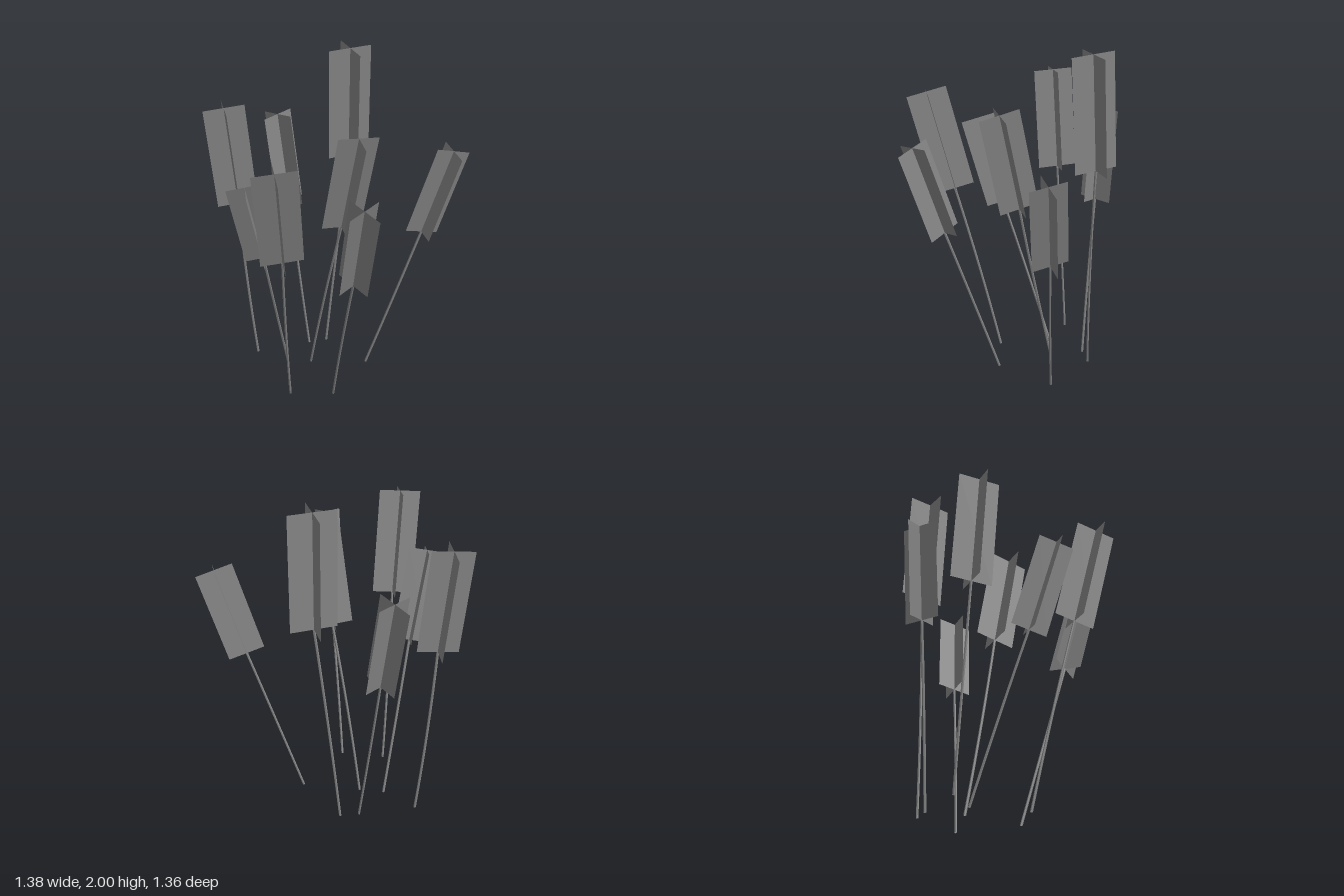
import * as THREE from 'three';

// Each reed: stem foot [x, z], stem bend [x, z], head bottom and top [x, y, z],
// direction of one head blade seen from above [x, z], head width
const REEDS = [
  { foot: [-0.386, -0.49], bend: [-0.44, -0.485], low: [-0.47, 1.115, -0.46], high: [-0.522, 1.72, -0.449], dir: [30, 7], width: 0.232 },
  { foot: [-0.05, -0.43], bend: [-0.088, -0.475], low: [-0.114, 1.015, -0.526], high: [-0.149, 1.565, -0.583], dir: [53, -21], width: 0.212 },
  { foot: [0.06, -0.405], bend: [0.115, -0.362], low: [0.191, 1.335, -0.34], high: [0.183, 1.993, -0.307], dir: [68, 3], width: 0.255 },
  { foot: [-0.257, -0.308], bend: [-0.365, -0.205], low: [-0.474, 0.945, -0.088], high: [-0.6, 1.462, 0.016], dir: [45, 17], width: 0.203 },
  { foot: [-0.127, -0.242], bend: [-0.098, -0.11], low: [-0.039, 1.085, 0.017], high: [-0.003, 1.672, 0.153], dir: [62.5, 8], width: 0.232 },
  { foot: [0.18, -0.082], bend: [0.315, 0.005], low: [0.452, 0.96, 0.079], high: [0.586, 1.482, 0.167], dir: [-6, 54], width: 0.209 },
  { foot: [-0.373, -0.012], bend: [-0.435, 0.09], low: [-0.491, 1.085, 0.222], high: [-0.568, 1.678, 0.349], dir: [60, 17], width: 0.234 },
  { foot: [-0.143, 0.107], bend: [-0.166, 0.26], low: [-0.175, 0.965, 0.422], high: [-0.197, 1.495, 0.582], dir: [53, -18], width: 0.209 },
];

const STEM_RADIUS = 0.0075;

const darkGrey = new THREE.MeshStandardMaterial({ color: 0x848484, flatShading: true, side: THREE.DoubleSide });

function createStem({ foot, bend, low }) {
  const path = new THREE.QuadraticBezierCurve3(
    new THREE.Vector3(foot[0], 0, foot[1]),
    new THREE.Vector3(bend[0], low[1] / 2, bend[1]),
    new THREE.Vector3(...low)
  );
  const stem = new THREE.Mesh(new THREE.TubeGeometry(path, 8, STEM_RADIUS, 6), darkGrey);
  stem.name = 'stem';
  return stem;
}

// Two thin blades crossing along the head's axis
function createHead({ low, high, dir, width }) {
  const bottom = new THREE.Vector3(...low);
  const top = new THREE.Vector3(...high);
  const axis = top.clone().sub(bottom);
  const length = axis.length();
  axis.normalize();

  // Blade direction, tilted so it stays square to the axis
  const across = new THREE.Vector3(dir[0], -(dir[0] * axis.x + dir[1] * axis.z) / axis.y, dir[1]).normalize();
  const normal = across.clone().cross(axis);

  const head = new THREE.Group();
  head.name = 'head';
  for (let i = 0; i < 2; i++) {
    const blade = new THREE.Mesh(new THREE.PlaneGeometry(width, length), darkGrey);
    blade.rotation.y = i * Math.PI / 2;
    blade.name = 'headBlade';
    head.add(blade);
  }
  head.quaternion.setFromRotationMatrix(new THREE.Matrix4().makeBasis(across, axis, normal));
  head.position.copy(bottom).lerp(top, 0.5);
  return head;
}

export function createModel() {
  const model = new THREE.Group();
  model.name = 'reeds';
  for (const spec of REEDS) {
    const reed = new THREE.Group();
    reed.name = 'reed';
    reed.add(createStem(spec), createHead(spec));
    model.add(reed);
  }
  return model;
}
